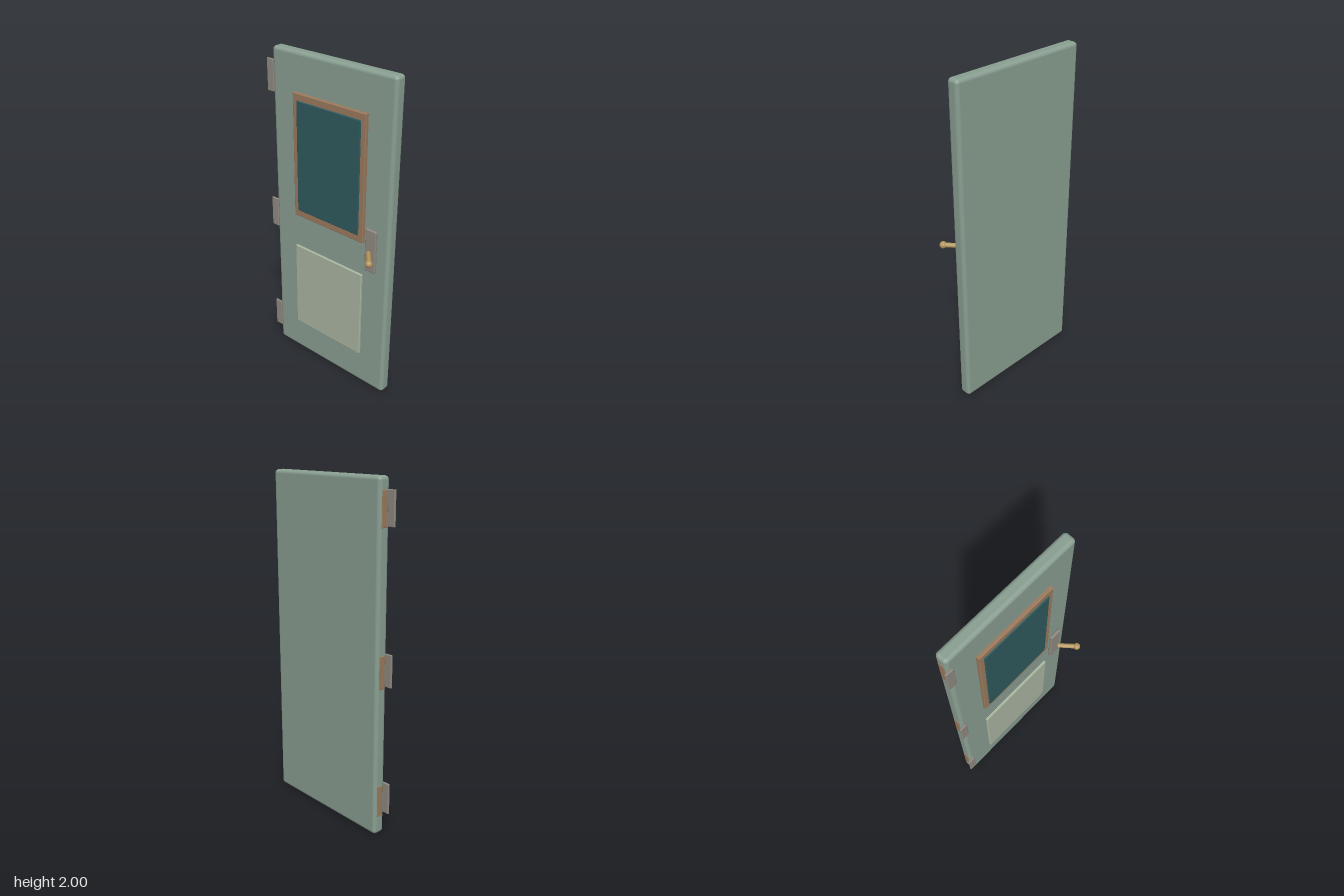
import * as THREE from 'three';
import { RoundedBoxGeometry } from 'three/addons/geometries/RoundedBoxGeometry.js';

const paint = (color) => new THREE.MeshStandardMaterial({ color });
const green = paint(0x8a9f92), wood = paint(0x9c7b5e), glass = paint(0x2f5a5e);
const pale = paint(0xabb7a2), steel = paint(0x918a82), brass = paint(0xb3965f);

// Rounded block given by its extents on each axis
function block(name, [x0, x1], [y0, y1], [z0, z1], radius, material, segments = 2) {
  const geometry = new RoundedBoxGeometry(x1 - x0, y1 - y0, z1 - z0, segments, radius);
  const mesh = new THREE.Mesh(geometry, material);
  mesh.position.set((x0 + x1) / 2, (y0 + y1) / 2, (z0 + z1) / 2);
  mesh.name = name;
  return mesh;
}

// Rectangular window surround with an opening behind the pane
function windowFrame() {
  const bevel = 0.004, x0 = -0.25 + bevel, x1 = 0.273 - bevel, y0 = 1.013 + bevel, y1 = 1.775 - bevel;
  const rect = (C, a, b, c, d) => new C([[a, c], [b, c], [b, d], [a, d]].map(p => new THREE.Vector2(...p)));
  const shape = rect(THREE.Shape, x0, x1, y0, y1);
  shape.holes.push(rect(THREE.Path, -0.2, 0.225, 1.075, 1.715));
  const geometry = new THREE.ExtrudeGeometry(shape, {
    depth: 0.018, bevelSize: bevel, bevelThickness: bevel, bevelSegments: 2,
  });
  const mesh = new THREE.Mesh(geometry, wood);
  mesh.position.z = -0.044;
  mesh.name = 'windowFrame';
  return mesh;
}

// Angled lever ending in a ball
function handle() {
  const group = new THREE.Group();
  group.name = 'handle';
  const start = new THREE.Vector3(0.336, 0.988, 0.001), end = new THREE.Vector3(0.41, 0.988, 0.09);
  const along = end.clone().sub(start);
  const lever = new THREE.Mesh(new THREE.CylinderGeometry(0.0138, 0.0138, along.length(), 24), brass);
  lever.name = 'lever';
  lever.position.copy(start).add(end).multiplyScalar(0.5);
  lever.quaternion.setFromUnitVectors(new THREE.Vector3(0, 1, 0), along.normalize());
  const knob = new THREE.Mesh(new THREE.SphereGeometry(0.021, 24, 16), brass);
  knob.name = 'leverKnob';
  knob.position.copy(end);
  group.add(lever, knob);
  return group;
}

export function createModel() {
  const door = new THREE.Group();
  door.name = 'door';

  // Slab, window and lower panel
  door.add(
    block('slab', [-0.422, 0.443], [0, 2], [-0.117, -0.042], 0.022, green, 4),
    windowFrame(),
    block('windowPane', [-0.218, 0.241], [1.055, 1.735], [-0.04, -0.015], 0.005, glass),
    block('lowerPanel', [-0.25, 0.272], [0.225, 0.8], [-0.039, -0.022], 0.005, pale),
  );

  // Hinge leaves and the mortises let into the door edge
  for (const y of [0.208, 0.972, 1.837]) {
    const height = [y - 0.094, y + 0.094];
    door.add(
      block('hingeLeaf', [-0.446, -0.396], height, [-0.035, -0.022], 0.004, steel),
      block('hingeMortise', [-0.425, -0.39], height, [-0.099, -0.06], 0.003, wood),
    );
  }

  // Lock plate and handle
  door.add(block('lockPlate', [0.296, 0.371], [0.853, 1.122], [-0.033, -0.014], 0.006, steel), handle());
  return door;
}
